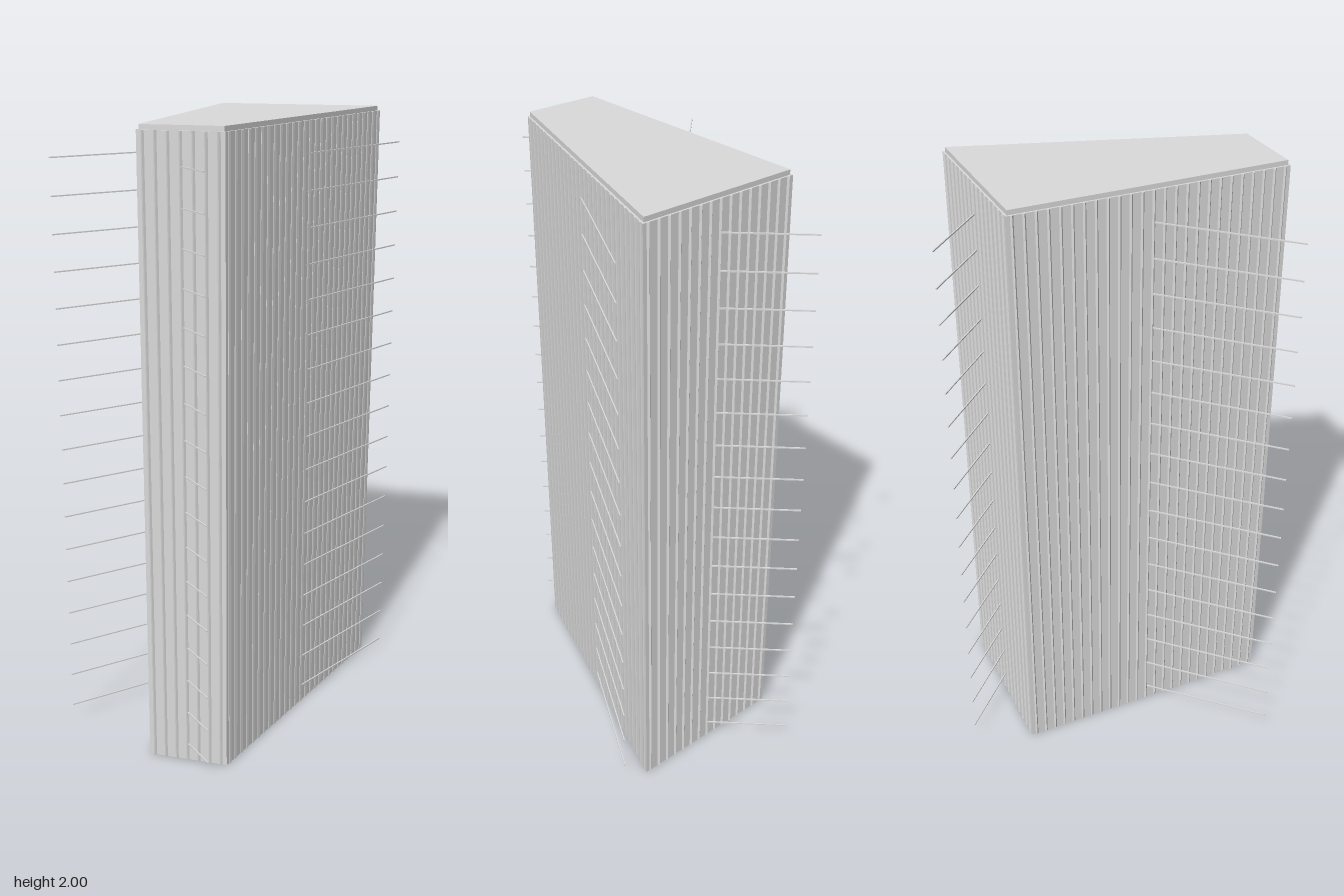
import * as THREE from 'three';

// Footprint corners as [x, z], going round the plan
const corners = [[-0.52, 0.051], [0.314, -0.292], [0.518, 0.215], [-0.424, 0.291]];
const wallTop = 1.985;
const wallThickness = 0.007;

// Footprint moved inwards by d
function inset(d) {
  const n = corners.length;
  const lines = corners.map(([x, z], i) => {
    const [x2, z2] = corners[(i + 1) % n];
    const len = Math.hypot(x2 - x, z2 - z);
    const dx = (x2 - x) / len, dz = (z2 - z) / len;
    return { x: x - dz * d, z: z + dx * d, dx, dz };
  });
  return lines.map((b, i) => {
    const a = lines[(i + n - 1) % n];
    const t = ((b.x - a.x) * b.dz - (b.z - a.z) * b.dx) / (a.dx * b.dz - a.dz * b.dx);
    return new THREE.Vector2(a.x + a.dx * t, -(a.z + a.dz * t));
  });
}

function prism(shape, y, height) {
  const g = new THREE.ExtrudeGeometry(shape, { depth: height, bevelEnabled: false });
  return g.rotateX(-Math.PI / 2).translate(0, y, 0);
}

export function createModel() {
  const model = new THREE.Group();
  model.name = 'tower';
  const grey = new THREE.MeshStandardMaterial({ color: 0xdadada });
  grey.name = 'concrete grey';

  const add = (name, geometry, parent = model) => {
    const mesh = new THREE.Mesh(geometry, grey);
    mesh.name = name;
    parent.add(mesh);
    return mesh;
  };

  // Thin outer walls, open underneath; the hole runs the other way so its faces look inwards
  const ring = new THREE.Shape(inset(0));
  ring.holes.push(new THREE.Path(inset(wallThickness).reverse()));
  add('walls', prism(ring, 0, wallTop));

  // Roof slab, slightly set back and proud of the walls
  add('roof', prism(new THREE.Shape(inset(0.006)), wallTop - 0.01, 0.025));

  const ribGeometry = new THREE.BoxGeometry(0.01, wallTop, 0.01);
  corners.forEach(([x1, z1], i) => {
    const [x2, z2] = corners[(i + 1) % corners.length];
    const dx = x2 - x1, dz = z2 - z1;
    const length = Math.hypot(dx, dz);
    const angle = Math.atan2(dz, dx); // turned opposite to the wall's own slope
    const facade = new THREE.Group();
    facade.name = 'facade' + (i + 1);
    model.add(facade);

    // Vertical ribs along the wall
    const count = Math.round(length / 0.0355);
    for (let k = 0; k < count; k++) {
      const t = (k + 0.5) / count;
      const rib = add('rib', ribGeometry, facade);
      rib.position.set(x1 + dx * t - (dz / length) * 0.002, wallTop / 2, z1 + dz * t + (dx / length) * 0.002);
      rib.rotation.y = angle;
    }

    // Horizontal floor bars crossing the wall at its middle
    const barGeometry = new THREE.BoxGeometry(length, 0.004, 0.004);
    for (let k = 0; k < 17; k++) {
      const bar = add('floorBar', barGeometry, facade);
      bar.position.set((x1 + x2) / 2, 0.058 + k * 0.1143, (z1 + z2) / 2);
      bar.rotation.y = angle;
    }
  });
  return model;
}
